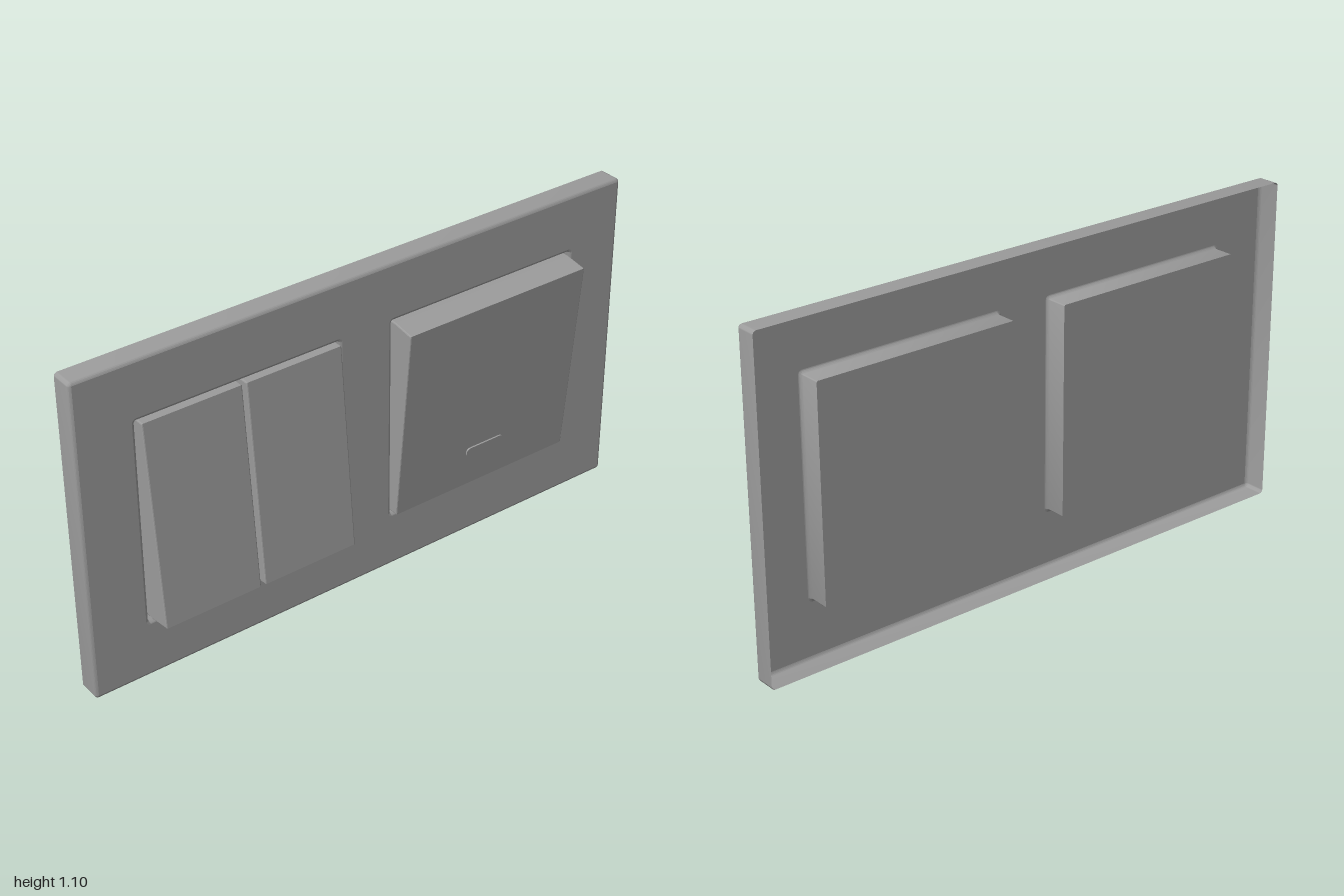
import * as THREE from 'three';
import { toCreasedNormals } from 'three/addons/utils/BufferGeometryUtils.js';

const mat = new THREE.MeshStandardMaterial({ color: 0x9b9b9b });
const shellMat = new THREE.MeshStandardMaterial({ color: 0x9b9b9b, side: THREE.DoubleSide });
const BACK = -0.0775, FACE = -0.003, PROUD = 0.0775;

function part(name, geometry, material = mat) {
  const mesh = new THREE.Mesh(geometry, material);
  mesh.name = name;
  return mesh;
}

// Counter-clockwise outline of a rounded rectangle
function outline(hw, hh, r, cx = 0, steps = 5) {
  const pts = [];
  [[1, 1], [-1, 1], [-1, -1], [1, -1]].forEach(([sx, sy], q) => {
    for (let i = 0; i <= steps; i++) {
      const a = (q + i / steps) * Math.PI / 2;
      pts.push(new THREE.Vector2(cx + sx * (hw - r) + r * Math.cos(a), sy * (hh - r) + r * Math.sin(a)));
    }
  });
  return pts;
}

// Skin between rounded rectangles [halfWidth, halfHeight, radius, z], back to front
function loft(rings) {
  const pos = [], index = [];
  rings.forEach(([hw, hh, r, z], k) => {
    const pts = outline(hw, hh, r), n = pts.length;
    pts.forEach((p, i) => {
      pos.push(p.x, p.y, z);
      if (k === 0) return;
      const j = (i + 1) % n, a = (k - 1) * n, b = k * n;
      index.push(a + i, a + j, b + j, a + i, b + j, b + i);
    });
  });
  const g = new THREE.BufferGeometry();
  g.setAttribute('position', new THREE.Float32BufferAttribute(pos, 3));
  g.setIndex(index);
  return toCreasedNormals(g, 0.7);
}

// Rings along a quarter-round edge; grow = -1 for the outer rim, +1 for an opening
function quarterRound(hw, hh, corner, r, grow) {
  return [0, 1, 2, 3, 4].map((i) => {
    const a = (i / 4) * Math.PI / 2, d = grow * r * (1 - Math.cos(a));
    return [hw + d, hh + d, corner + d, FACE - r + r * Math.sin(a)];
  });
}

// Tilted key: side profile extruded across its width, with crisp flat faces
function rocker(name, cx, width, flip) {
  const b = 0.004;
  const profile = [[-0.06, -0.345], [0, -0.345], [PROUD, -0.333], [0.015, 0.35], [-0.06, 0.35]]
    .map(([z, y]) => new THREE.Vector2(z, y * flip));
  const g = new THREE.ExtrudeGeometry(new THREE.Shape(profile), {
    depth: width - 2 * b, bevelThickness: b, bevelSize: b, bevelOffset: -b, bevelSegments: 2,
  });
  g.translate(0, 0, b - width / 2);
  g.rotateY(-Math.PI / 2);
  g.translate(cx, 0, 0);
  return part(name, toCreasedNormals(g, 0.1));
}

export function createModel() {
  const group = new THREE.Group();
  group.name = 'doubleWallSwitch';

  // Built facing +z, then turned so the keys face +x
  const body = new THREE.Group();
  body.name = 'switchBody';
  body.rotation.y = Math.PI / 2;
  body.position.y = 0.55;
  group.add(body);

  // Hollow frame: rim with rounded front edge
  const edge = 0.01, corner = 0.012;
  body.add(part('frameRim', loft([[1, 0.55, corner, BACK], ...quarterRound(1, 0.55, corner, edge, -1)]), shellMat));

  // Thin front panel with two openings
  const half = 0.353, lip = 0.01, cupCorner = 0.006;
  const centres = [-0.45, 0.45];
  const panel = new THREE.Shape(outline(1 - edge, 0.55 - edge, corner - edge));
  for (const cx of centres) {
    panel.holes.push(new THREE.Path(outline(half + lip, half + lip, cupCorner + lip, cx).reverse()));
  }
  const panelGeo = new THREE.ShapeGeometry(panel);
  panelGeo.translate(0, 0, FACE);
  body.add(part('frontPanel', panelGeo, shellMat));

  // Recessed cup behind each opening
  for (const cx of centres) {
    const walls = part('cupWalls',
      loft([[half, half, cupCorner, BACK], ...quarterRound(half, half, cupCorner, lip, 1)]), shellMat);
    walls.position.x = cx;
    const floor = part('cupFloor', new THREE.ShapeGeometry(new THREE.Shape(outline(half, half, cupCorner))), shellMat);
    floor.position.set(cx, 0, BACK);
    body.add(walls, floor);
  }

  // Two narrow keys pressed at the top, one wide key pressed at the bottom
  body.add(rocker('narrowRockerOuter', -0.624, 0.337, 1));
  body.add(rocker('narrowRockerInner', -0.272, 0.337, 1));
  body.add(rocker('wideRocker', 0.45, 0.69, -1));

  // Pill-shaped indicator window on the wide key
  const pill = new THREE.ExtrudeGeometry(new THREE.Shape(outline(0.075, 0.016, 0.0159)), { depth: 0.009, bevelEnabled: false });
  const tilt = (PROUD - 0.015) / 0.683;
  const indicator = part('indicatorWindow', toCreasedNormals(pill, 0.6));
  indicator.position.set(0.45, -0.218, 0.015 + (0.35 - 0.218) * tilt - 0.004);
  indicator.rotation.x = Math.atan(tilt);
  body.add(indicator);

  return group;
}
